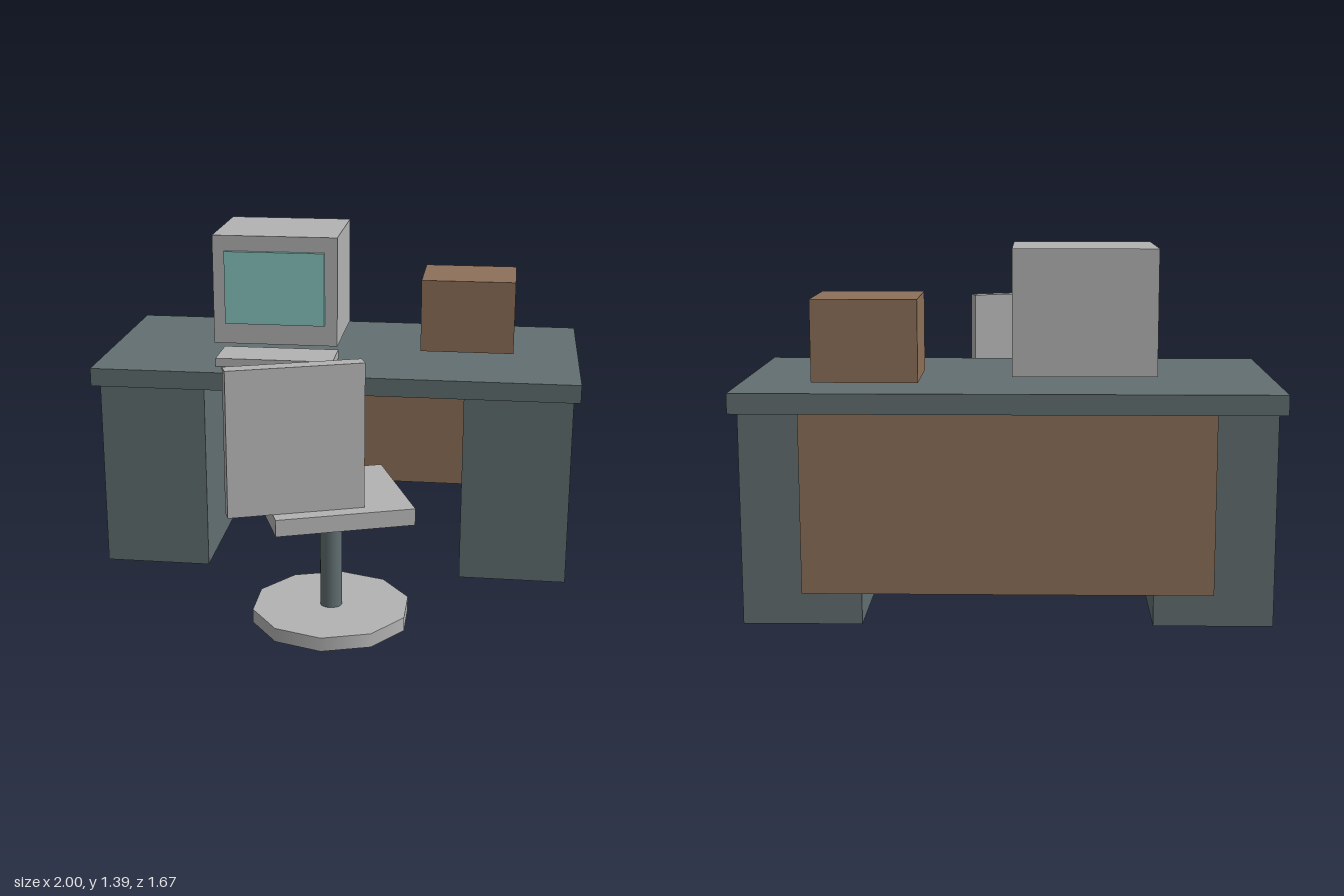
import * as THREE from 'three';

const mat = (name, color) => {
  const m = new THREE.MeshStandardMaterial({ color });
  m.name = name;
  return m;
};

export function createModel() {
  const slate = mat('slate', 0x626f71);
  const grey = mat('light grey', 0xb3b3b3);
  const brown = mat('brown', 0x8d7059);
  const teal = mat('screen teal', 0x88c8c1);

  const model = new THREE.Group();
  model.name = 'officeDesk';
  const group = (name) => {
    const g = new THREE.Group();
    g.name = name;
    model.add(g);
    return g;
  };
  // Box given by its low and high limits on each axis
  const box = (parent, name, material, [x0, x1], [y0, y1], [z0, z1]) => {
    const mesh = new THREE.Mesh(new THREE.BoxGeometry(x1 - x0, y1 - y0, z1 - z0), material);
    mesh.position.set((x0 + x1) / 2, (y0 + y1) / 2, (z0 + z1) / 2);
    mesh.name = name;
    parent.add(mesh);
    return mesh;
  };
  const cylinder = (parent, name, material, radius, y0, y1, sides) => {
    const mesh = new THREE.Mesh(new THREE.CylinderGeometry(radius, radius, y1 - y0, sides), material);
    mesh.position.y = (y0 + y1) / 2;
    mesh.name = name;
    parent.add(mesh);
  };

  // Desk: top, two pedestals and a panel across the back
  const desk = group('desk');
  box(desk, 'deskTop', slate, [-1, 1], [0.81, 0.885], [-0.84, 0.105]);
  box(desk, 'leftPedestal', slate, [0.535, 0.975], [0.015, 0.81], [-0.785, 0.055]);
  box(desk, 'rightPedestal', slate, [-0.975, -0.535], [0.015, 0.81], [-0.785, 0.055]);
  box(desk, 'backPanel', brown, [-0.755, 0.755], [0.135, 0.81], [-0.8, -0.75]);

  // Things on the desk
  const computer = group('computer');
  box(computer, 'monitor', grey, [-0.545, -0.015], [0.925, 1.39], [-0.688, -0.223]);
  box(computer, 'screen', teal, [-0.493, -0.068], [1.015, 1.325], [-0.24, -0.204]);
  box(computer, 'keyboard', grey, [-0.493, -0.006], [0.885, 0.92], [-0.19, 0.009]);
  box(model, 'storageBox', brown, [0.333, 0.728], [0.894, 1.202], [-0.643, -0.309]);

  // Swivel chair, turned away from the desk axis
  const chair = group('chair');
  chair.position.set(0.052, 0, 0.503);
  cylinder(chair, 'chairBase', grey, 0.31, 0.02, 0.075, 10);
  cylinder(chair, 'chairPole', slate, 0.043, 0, 0.48, 20);
  const upper = new THREE.Group();
  upper.name = 'chairUpper';
  upper.rotation.y = THREE.MathUtils.degToRad(20);
  chair.add(upper);
  box(upper, 'seat', grey, [-0.264, 0.264], [0.48, 0.545], [-0.253, 0.253]);
  box(upper, 'backrest', grey, [-0.43, 0.083], [0.545, 1.102], [0.136, 0.196]);

  return model;
}
